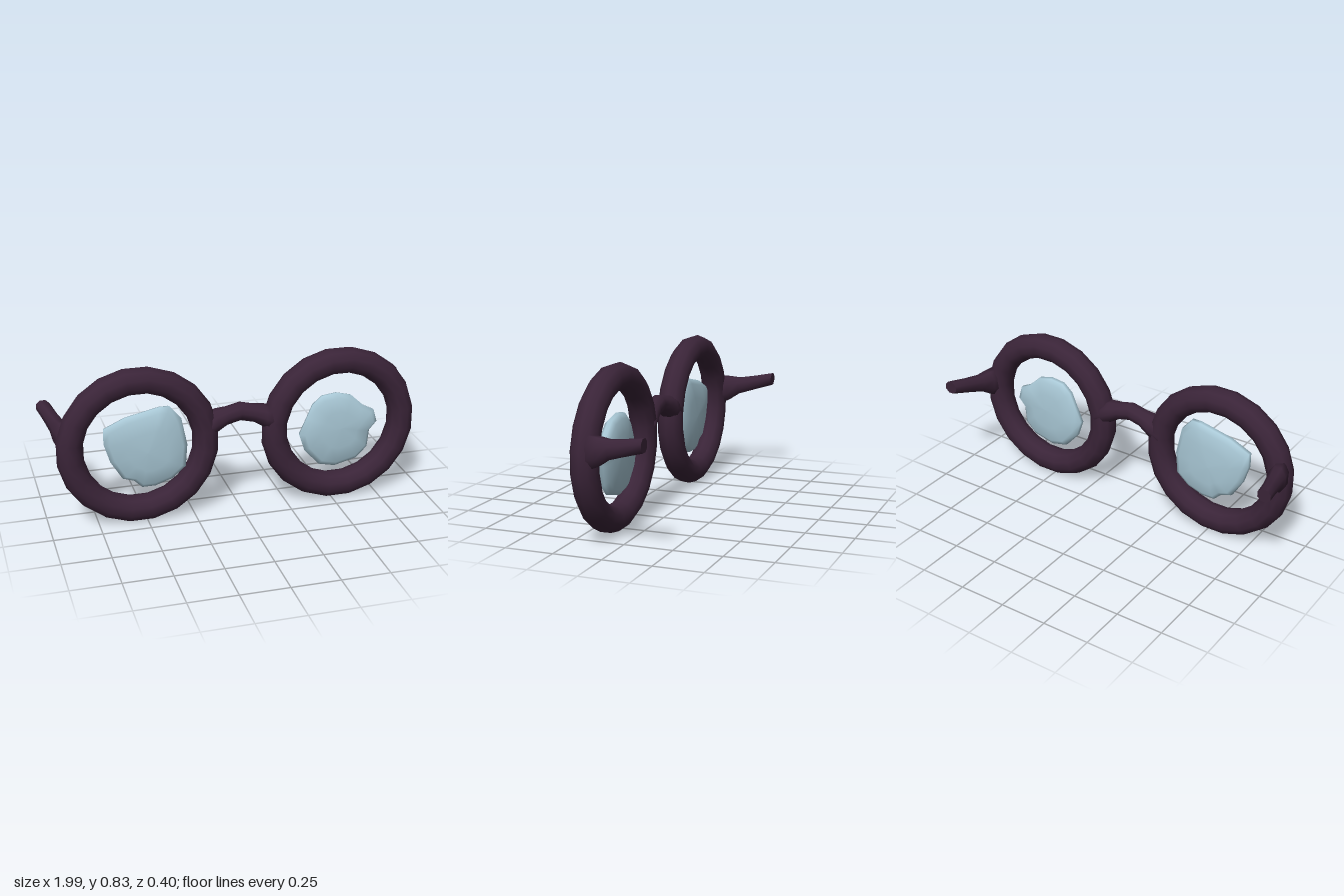
import * as THREE from 'three';

// Skin a list of closed loops; loops run counterclockwise around the direction of travel
function loft(loops) {
  const n = loops[0].length, index = [];
  for (let i = 0; i < loops.length - 1; i++) {
    for (let j = 0; j < n; j++) {
      const k = (j + 1) % n;
      const a = i * n + j, b = i * n + k, c = (i + 1) * n + k, d = (i + 1) * n + j;
      index.push(a, b, d, b, c, d);
    }
  }
  const geometry = new THREE.BufferGeometry();
  geometry.setAttribute('position', new THREE.Float32BufferAttribute(loops.flat(2), 3));
  geometry.setIndex(index);
  geometry.computeVertexNormals();
  return geometry;
}

const angles = (n) => Array.from({ length: n }, (_, i) => ((i + 0.5) / n) * Math.PI * 2);

// Rounded pebble from a front outline, listed clockwise
function lensGeometry(outline) {
  const pts = [...outline].reverse();
  const cx = pts.reduce((s, p) => s + p[0], 0) / pts.length;
  const cy = pts.reduce((s, p) => s + p[1], 0) / pts.length;
  const layers = [[0, -0.042], [0.5, -0.04], [0.86, -0.03], [0.98, -0.012],
    [1, 0.006], [0.88, 0.028], [0.5, 0.04], [0, 0.042]];
  return loft(layers.map(([s, z]) =>
    pts.map(([x, y]) => [cx + (x - cx) * s, cy + (y - cy) * s, 0.135 + z])));
}

export function createModel() {
  const group = new THREE.Group();
  const frame = new THREE.MeshStandardMaterial({ name: 'darkPlumFrame', color: 0x3a2438 });
  const glass = new THREE.MeshStandardMaterial({ name: 'paleBlueGlass', color: 0xa9c8d6 });
  const add = (name, geometry, material) => {
    const mesh = new THREE.Mesh(geometry, material);
    mesh.name = name;
    group.add(mesh);
    return mesh;
  };

  // Temple stubs: z, x, y, half width, half height, from the tip to the rim
  const temple = [
    [-0.198, 0.96, 0.55, 0, 0], [-0.198, 0.96, 0.55, 0.038, 0.036],
    [-0.198, 0.96, 0.55, 0.038, 0.036], [-0.1, 0.937, 0.527, 0.038, 0.042],
    [-0.01, 0.915, 0.507, 0.043, 0.05], [0.05, 0.903, 0.49, 0.05, 0.075],
    [0.11, 0.89, 0.48, 0.05, 0.09], [0.14, 0.88, 0.48, 0, 0],
  ];

  for (const side of [-1, 1]) {
    const label = side < 0 ? 'right' : 'left';
    const rim = add(label + 'Rim', new THREE.TorusGeometry(0.351, 0.069, 10, 20), frame);
    rim.position.set(side * 0.532, 0.423, 0.136);
    rim.rotation.z = Math.PI / 20;
    add(label + 'Temple', loft(temple.map(([z, x, y, rx, ry]) =>
      angles(8).map((a) => [side * x + rx * Math.cos(a), y + ry * Math.sin(a), z]))), frame);
  }

  // Arched bridge: x, y, radius
  const bridge = [
    [-0.2, 0.48, 0], [-0.2, 0.48, 0.068], [-0.13, 0.51, 0.063], [-0.07, 0.532, 0.048],
    [0, 0.549, 0.048],
    [0.07, 0.532, 0.048], [0.13, 0.51, 0.063], [0.2, 0.48, 0.068], [0.2, 0.48, 0],
  ];
  add('bridge', loft(bridge.map(([x, y, r]) =>
    angles(10).map((a) => [x, y + r * Math.cos(a), 0.133 + r * Math.sin(a)]))), frame);

  // Floating irregular lenses
  add('rightLens', lensGeometry([
    [-0.71, 0.53], [-0.6, 0.58], [-0.42, 0.62], [-0.37, 0.62], [-0.31, 0.55], [-0.28, 0.4],
    [-0.29, 0.28], [-0.36, 0.22], [-0.45, 0.19], [-0.52, 0.19], [-0.56, 0.23], [-0.62, 0.25],
    [-0.68, 0.35], [-0.71, 0.45],
  ]), glass);
  add('leftLens', lensGeometry([
    [0.44, 0.585], [0.52, 0.595], [0.6, 0.575], [0.67, 0.51], [0.73, 0.48], [0.75, 0.41],
    [0.71, 0.365], [0.7, 0.27], [0.64, 0.21], [0.52, 0.18], [0.43, 0.2], [0.35, 0.29],
    [0.32, 0.38], [0.36, 0.47], [0.39, 0.54],
  ]), glass);

  return group;
}
